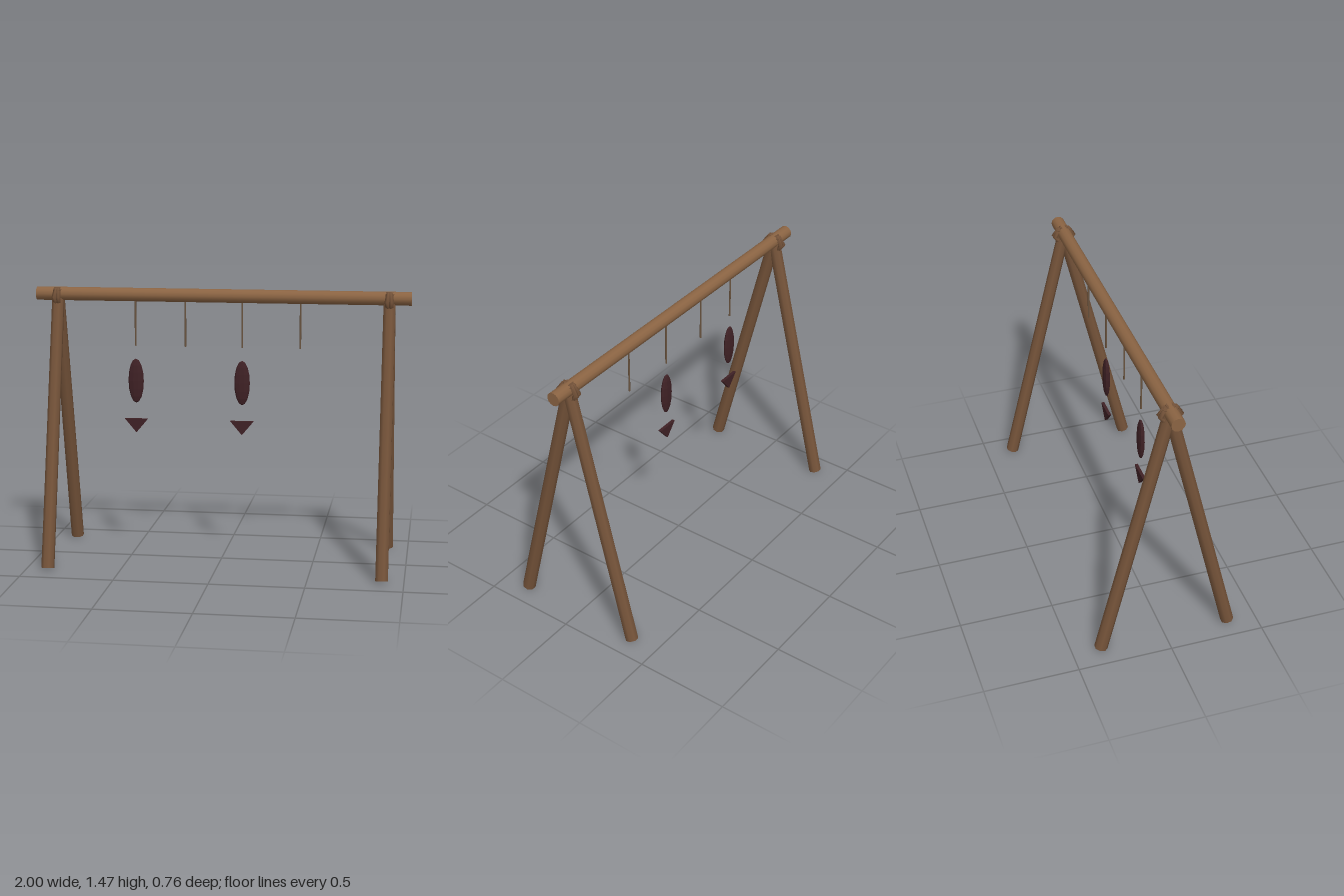
import * as THREE from 'three';

const paint = (name, color) => {
  const m = new THREE.MeshStandardMaterial({ color });
  m.name = name;
  return m;
};

export function createModel() {
  const beamWood = paint('beam wood', 0x8b6443);
  const legWood = paint('leg wood', 0x76543a);
  const cordFibre = paint('cord fibre', 0x6b5540);
  const driedFish = paint('dried fish', 0x3f2125);
  driedFish.flatShading = true;

  const rack = new THREE.Group();
  rack.name = 'dryingRack';
  const add = (name, geometry, material, x = 0, y = 0, z = 0) => {
    const mesh = new THREE.Mesh(geometry, material);
    mesh.name = name;
    mesh.position.set(x, y, z);
    rack.add(mesh);
    return mesh;
  };

  // Horizontal pole
  add('beam', new THREE.CylinderGeometry(0.036, 0.036, 2, 12).rotateZ(Math.PI / 2), beamWood, 0, 1.437);

  // Crossed leg pairs, tied to the pole
  const footZ = 0.348, footY = 0.009, topZ = -0.009, topY = 1.465;
  const length = Math.hypot(footZ - topZ, topY - footY);
  const lean = Math.atan2(footZ - topZ, topY - footY);
  for (const side of [-1, 1]) {
    const x = side * 0.885;
    for (const s of [-1, 1]) {
      const leg = add(s > 0 ? 'frontLeg' : 'backLeg',
        new THREE.CylinderGeometry(0.033, 0.035, length, 8).rotateY(Math.PI / 8),
        legWood, x, (footY + topY) / 2, s * (footZ + topZ) / 2);
      leg.rotation.x = -s * lean;

      const lashing = add('lashing',
        new THREE.TorusGeometry(0.053, 0.014, 5, 6).scale(1, 0.85, 1).rotateY(Math.PI / 2),
        legWood, x, 1.422, 0);
      lashing.rotation.y = s * 0.2;
    }
  }

  // Hanging cords
  for (const x of [-0.465, -0.195, 0.11, 0.42]) {
    add('cord', new THREE.CylinderGeometry(0.005, 0.005, 0.25, 6), cordFibre, x, 1.287);
  }

  // Fish bodies with flat triangular tails
  const tail = new THREE.Shape([
    new THREE.Vector2(-0.063, 0.765), new THREE.Vector2(0, 0.69), new THREE.Vector2(0.063, 0.765),
  ]);
  for (const x of [-0.465, 0.11]) {
    add('fishBody', new THREE.SphereGeometry(1, 10, 8).scale(0.042, 0.12, 0.018), driedFish, x, 0.972);
    add('fishTail', new THREE.ExtrudeGeometry(tail, { depth: 0.016, bevelEnabled: false }),
      driedFish, x, 0, -0.008);
  }
  return rack;
}
